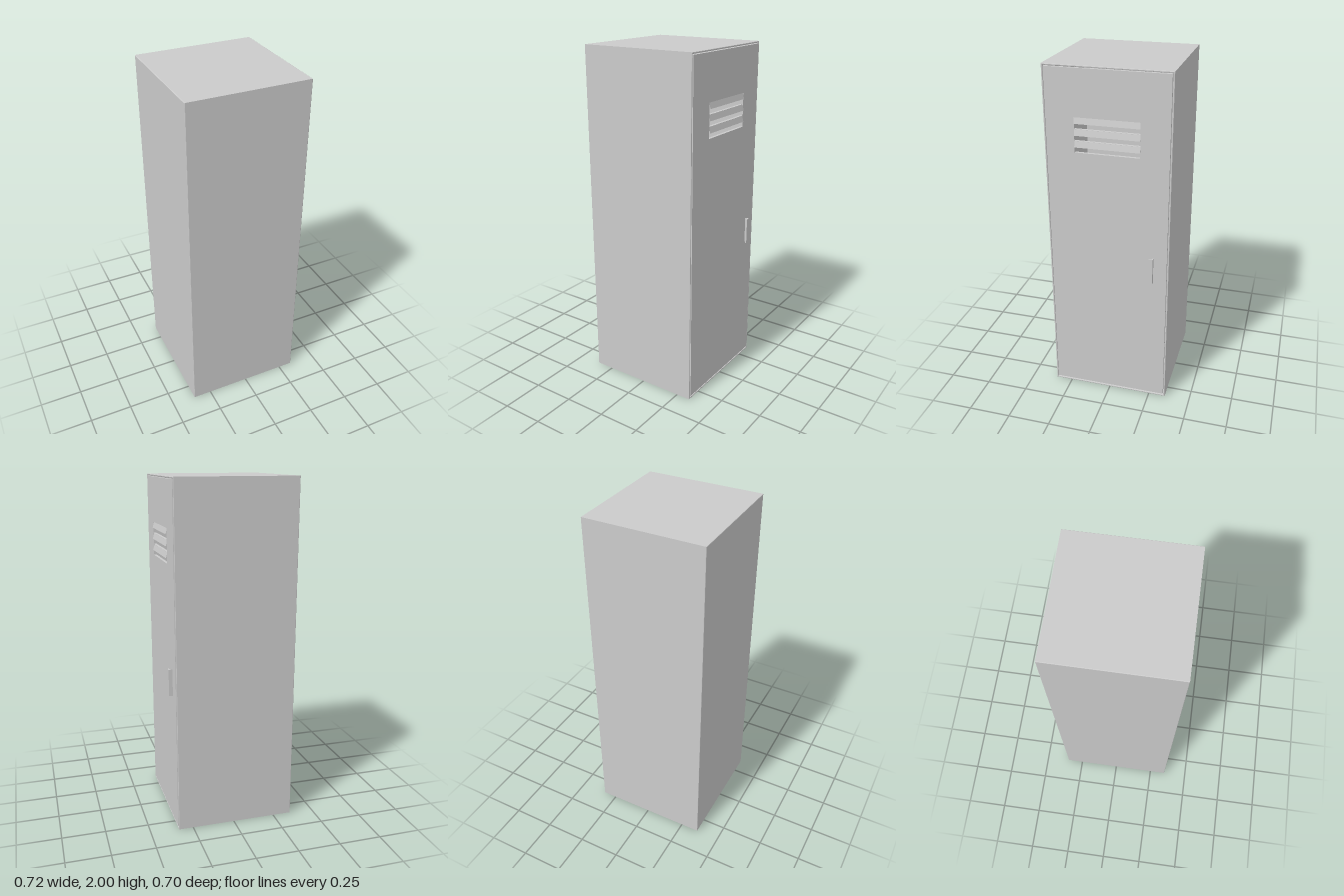
import * as THREE from 'three';

const H = 2, HALF = 0.35, BACK = -0.36, FRONT = 0.336;
const mat = new THREE.MeshStandardMaterial({ color: 0xcccccc, flatShading: true });

function add(parent, name, geometry) {
  const mesh = new THREE.Mesh(geometry, mat);
  mesh.name = name;
  parent.add(mesh);
  return mesh;
}

// Box given by its min and max corners
function box(parent, name, [x0, y0, z0], [x1, y1, z1]) {
  const mesh = add(parent, name, new THREE.BoxGeometry(x1 - x0, y1 - y0, z1 - z0));
  mesh.position.set((x0 + x1) / 2, (y0 + y1) / 2, (z0 + z1) / 2);
  return mesh;
}

// Rectangle outline in the side plane (shape x = -z, shape y = y)
function rect(path, halfWidth, y0, y1) {
  path.moveTo(-halfWidth, y0);
  path.lineTo(halfWidth, y0);
  path.lineTo(halfWidth, y1);
  path.lineTo(-halfWidth, y1);
  path.closePath();
  return path;
}

// Extrude a side-plane shape along x from x0 to x1 with a small bevel
function extrudeX(shape, x0, x1, bevel) {
  const g = new THREE.ExtrudeGeometry(shape, {
    depth: x1 - x0 - 2 * bevel, bevelEnabled: bevel > 0,
    bevelSize: bevel, bevelThickness: bevel, bevelOffset: -bevel, bevelSegments: 2,
  });
  g.rotateY(Math.PI / 2);
  g.translate(x0 + bevel, 0, 0);
  return g;
}

export function createModel() {
  const locker = new THREE.Group();
  locker.name = 'locker';

  // Hollow sheet-metal cabinet, open towards +x
  const shell = rect(new THREE.Shape(), HALF, 0, H);
  shell.holes.push(rect(new THREE.Path(), HALF - 0.009, 0.009, H - 0.009));
  add(locker, 'cabinetShell', extrudeX(shell, BACK, FRONT, 0.003));
  box(locker, 'backPanel', [BACK, 0.004, -HALF + 0.004], [BACK + 0.01, H - 0.004, HALF - 0.004]);

  // Door with three ventilation slots
  const door = new THREE.Group();
  door.name = 'door';
  locker.add(door);
  const panel = rect(new THREE.Shape(), 0.338, 0.018, 1.987);
  const slotTops = [1.73, 1.665, 1.6];
  for (const top of slotTops) panel.holes.push(rect(new THREE.Path(), 0.18, top - 0.065, top - 0.001));
  add(door, 'doorPanel', extrudeX(panel, 0.322, 0.338, 0));

  // Louvre slats leaning outwards over the slots
  const vent = new THREE.Group();
  vent.name = 'vent';
  door.add(vent);
  for (const top of slotTops) {
    const profile = new THREE.Shape([
      new THREE.Vector2(0.334, top), new THREE.Vector2(0.331, top),
      new THREE.Vector2(0.341, top - 0.035), new THREE.Vector2(0.344, top - 0.035),
    ]);
    const g = new THREE.ExtrudeGeometry(profile, { depth: 0.36, bevelEnabled: false });
    add(vent, 'louvre', g.translate(0, 0, -0.18));
  }

  // L-shaped pull handle
  const handle = new THREE.Group();
  handle.name = 'handle';
  door.add(handle);
  box(handle, 'handleStem', [0.336, 0.8, -0.262], [0.36, 0.955, -0.257]);
  box(handle, 'handleGrip', [0.353, 0.8, -0.257], [0.36, 0.955, -0.24]);

  return locker;
}
